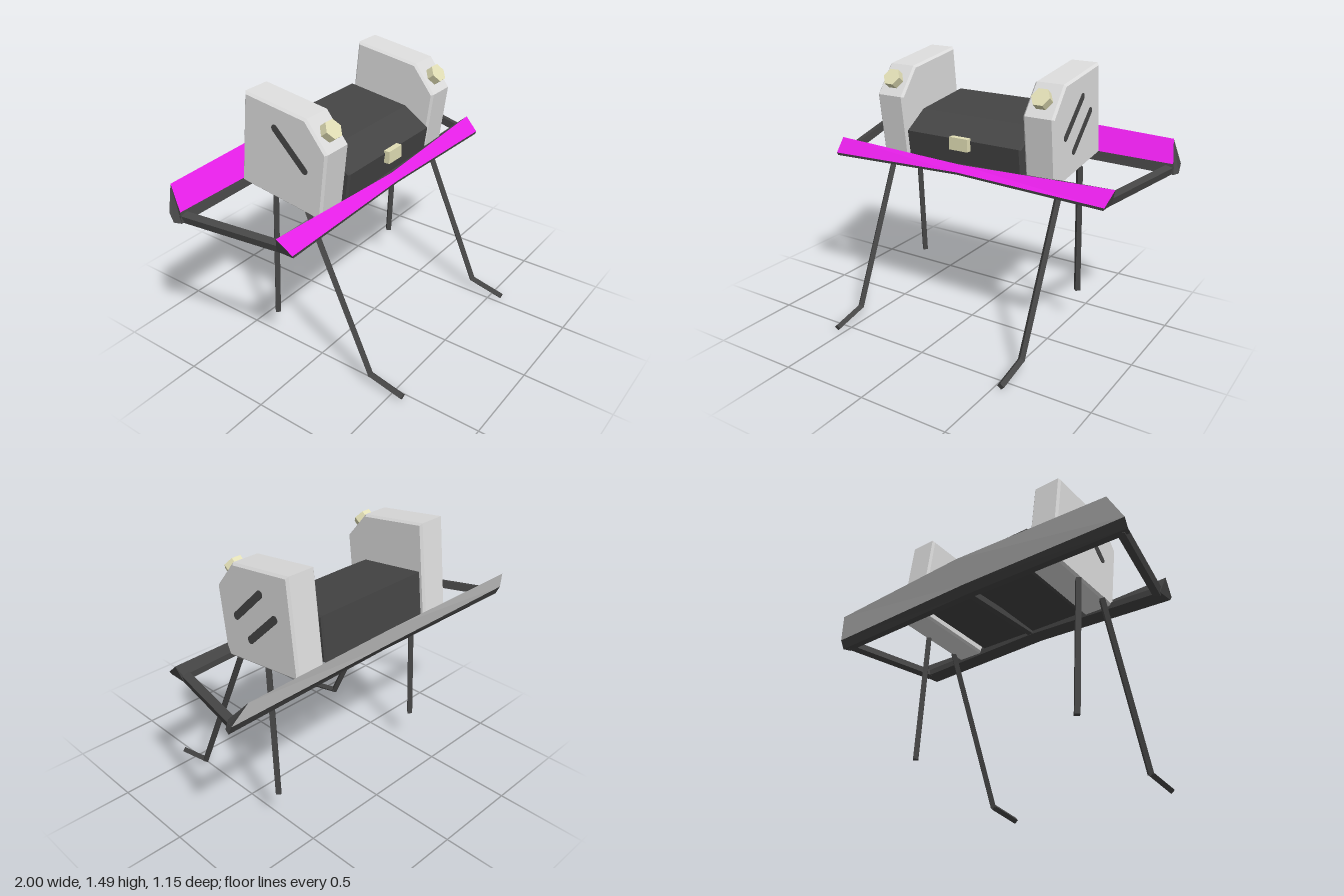
import * as THREE from 'three';

const mat = (name, color) => {
  const m = new THREE.MeshStandardMaterial({ color });
  m.name = name;
  return m;
};

export function createModel() {
  const root = new THREE.Group();
  const dark = mat('dark frame', 0x464646);
  const boxDark = mat('dark housing', 0x444444);
  const grey = mat('light grey', 0xdcdcdc);
  const magenta = mat('magenta', 0xe61fe8);
  const beige = mat('beige', 0xe2dfb6);

  const add = (name, geo, material, parent = root) => {
    const m = new THREE.Mesh(geo, material);
    m.name = name;
    parent.add(m);
    return m;
  };

  // Straight rod between two points; four flat sides, diamond or square
  const rod = (name, a, b, r, turn = 0, extend = 0) => {
    const p = new THREE.Vector3(...a), q = new THREE.Vector3(...b);
    const dir = q.clone().sub(p), len = dir.length();
    dir.normalize();
    const geo = new THREE.CylinderGeometry(r, r, len + extend * 2, 4, 1, false, turn).toNonIndexed();
    geo.computeVertexNormals();
    const m = add(name, geo, dark);
    m.quaternion.setFromUnitVectors(new THREE.Vector3(0, 1, 0), dir);
    m.position.copy(p).add(q).multiplyScalar(0.5);
    return m;
  };

  // Profile in (z, y) extruded along x with a small chamfer, centred on x = 0
  const slab = (points, width, bevel) => {
    const shape = new THREE.Shape(points.map(p => new THREE.Vector2(...p)));
    const geo = new THREE.ExtrudeGeometry(shape, {
      depth: width - 2 * bevel, bevelSize: bevel, bevelThickness: bevel,
      bevelOffset: -bevel, bevelSegments: 1,
    });
    geo.translate(0, 0, -width / 2 + bevel);
    geo.rotateY(-Math.PI / 2);
    return geo;
  };

  // Bowed beam: end and centre cross-sections (x, y, z), one material per side
  const bowedBeam = (name, end, mid, sides) => {
    const g = new THREE.Group();
    g.name = name;
    root.add(g);
    const rings = [end.map(([x, y, z]) => [-x, y, z]), mid, end];
    const n = end.length;
    const byMat = new Map();
    const tri = (m, ...p) => byMat.set(m, (byMat.get(m) || []).concat(p.flat()));
    for (let s = 0; s < 2; s++) {
      for (let i = 0; i < n; i++) {
        const j = (i + 1) % n, A = rings[s], B = rings[s + 1];
        tri(sides[i], A[i], A[j], B[j]);
        tri(sides[i], A[i], B[j], B[i]);
      }
    }
    for (let i = 1; i < n - 1; i++) {
      tri(dark, rings[0][0], rings[0][i + 1], rings[0][i]);
      tri(dark, rings[2][0], rings[2][i], rings[2][i + 1]);
    }
    for (const [m, pos] of byMat) {
      const geo = new THREE.BufferGeometry();
      geo.setAttribute('position', new THREE.Float32BufferAttribute(pos, 3));
      geo.computeVertexNormals();
      add(name + ' ' + m.name, geo, m, g);
    }
  };

  // Front rail with its sloped magenta strip
  bowedBeam('frontRail',
    [[0.875, 0.978, 0.07], [0.857, 0.905, 0.152], [0.85, 0.89, 0.15], [0.85, 0.89, 0.045], [0.85, 0.925, 0.045]],
    [[0, 0.965, 0.11], [0, 0.935, 0.156], [0, 0.922, 0.154], [0, 0.922, 0.05], [0, 0.955, 0.05]],
    [magenta, dark, dark, dark, dark]);

  // Back rail with its raised plate, magenta inside and grey outside
  bowedBeam('backRail',
    [[0.935, 1.097, -0.557], [0.975, 0.985, -0.462], [0.985, 0.93, -0.45], [1, 0.93, -0.49], [1, 0.98, -0.513]],
    [[0, 1.122, -0.575], [0, 0.992, -0.462], [0, 0.945, -0.45], [0, 0.945, -0.49], [0, 0.99, -0.52]],
    [magenta, dark, dark, dark, grey]);

  // Beams joining the rails
  rod('centreBeam', [0, 0.94, 0.06], [0, 0.97, -0.47], 0.024, Math.PI / 4);
  for (const s of [-1, 1]) rod('sideArm', [s * 0.825, 0.906, 0.065], [s * 0.955, 0.951, -0.475], 0.03, Math.PI / 4);

  // Central housing with its front tag
  add('housing', slab([[0.085, 0.935], [0.11, 1.105], [-0.04, 1.2], [-0.416, 1.247], [-0.447, 1.0]], 0.725, 0.01), boxDark);
  add('tag', new THREE.BoxGeometry(0.115, 0.07, 0.034), beige).position.set(0, 1.085, 0.12);

  const panel = slab([[0.07, 0.915], [0.122, 1.29], [0, 1.445], [-0.388, 1.497], [-0.456, 0.985]], 0.175, 0.012);

  // Rounded slot plate on a panel's outer face, rising to the back
  const slot = (s, z, y) => {
    const L = 0.252, r = 0.02;
    const shape = new THREE.Shape();
    shape.absarc(0, 0, r, Math.PI / 2, Math.PI * 1.5);
    shape.absarc(L, 0, r, -Math.PI / 2, Math.PI / 2);
    const geo = new THREE.ExtrudeGeometry(shape, { depth: 0.006, bevelEnabled: false, curveSegments: 6 });
    geo.translate(0, 0, -0.003);
    geo.rotateZ(Math.PI * 0.75);
    geo.rotateY(-Math.PI / 2);
    add('slot', geo, dark).position.set(s * 0.552, y, z);
  };
  slot(1, -0.02, 1.17);
  slot(1, -0.121, 1.075);
  slot(-1, -0.02, 1.17);

  for (const s of [-1, 1]) {
    add('sidePanel', panel, grey).position.x = s * 0.465;

    // Hexagonal bolt on the sloped front edge
    const hex = new THREE.CylinderGeometry(0.053, 0.053, 0.045, 6, 1, false, Math.PI / 2).toNonIndexed();
    hex.computeVertexNormals();
    const bolt = add('bolt', hex, beige);
    bolt.rotation.x = Math.atan2(0.155, 0.122);
    bolt.position.set(s * 0.465, 1.379, 0.083);

    // Legs: bent front leg with a foot, straight back leg
    const x = s * 0.54;
    rod('frontLeg', [x, 0.93, -0.018], [x, 0.07, 0.365], 0.02, 0, 0.006);
    rod('frontFoot', [x, 0.07, 0.363], [x, 0.025, 0.569], 0.02, 0, 0.003);
    rod('backLeg', [x, 0.96, -0.231], [x, 0.203, -0.278], 0.02);
  }
  return root;
}
